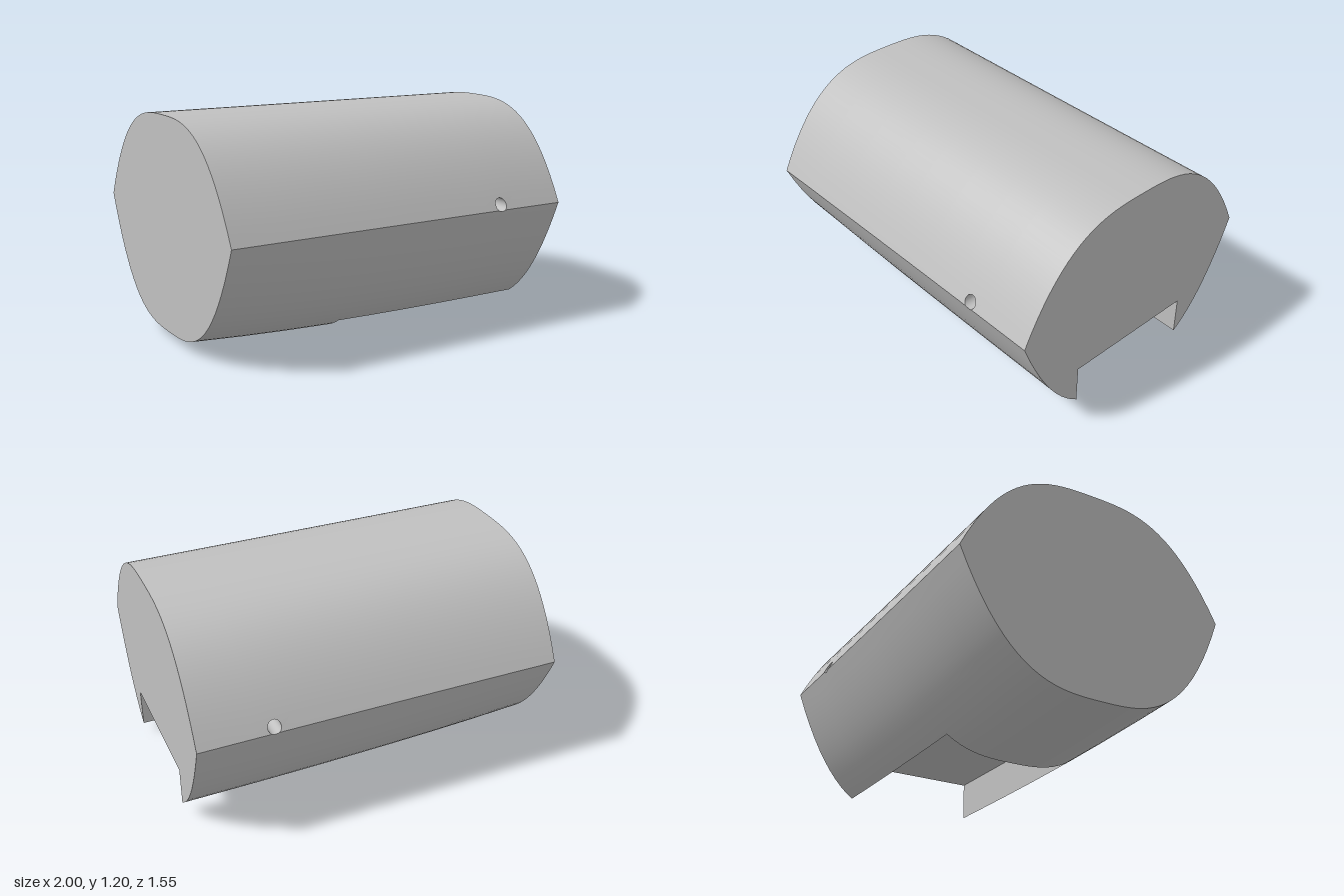
import * as THREE from 'three';
import { mergeVertices } from 'three/addons/utils/BufferGeometryUtils.js';

const TOP = 1.2, SEAM = 0.667;                       // crown and side ridge heights
const NOTCH = { x: -0.19, z: 0.385, y: 0.29 };       // open channel under the body
const HOLE = { x: 0.6, y: 0.695, r: 0.035 };         // cross bore
const N = 20;                                        // profile steps per half
const XS = [-1, -0.73, -0.46, -0.19, 0, 0.25, 0.5, 0.7, 1];

// Gentle taper along the length
const halfWidth = x => 0.762 + 0.011 * ((1 - x) / 2) ** 2;
const bottom = x => -0.016 + 0.066 * ((1 - x) / 2) ** 2.7;

// Cubic-curve section: t runs -1..1 across the width, |t| = 0.5 is the channel edge
function zAt(x, t) {
  const a = Math.abs(t);
  const z = a <= 0.5 ? a * 2 * NOTCH.z : NOTCH.z + (a - 0.5) * 2 * (halfWidth(x) - NOTCH.z);
  return Math.sign(t) * z;
}
function point(x, t, upper) {
  const z = zAt(x, t), end = upper ? TOP : bottom(x);
  return [x, end + (SEAM - end) * Math.abs(z / halfWidth(x)) ** 3, z];
}
function tAt(x, y, upper) {
  const end = upper ? TOP : bottom(x);
  const z = halfWidth(x) * Math.cbrt((y - end) / (SEAM - end));
  return 0.5 + 0.5 * (z - NOTCH.z) / (halfWidth(x) - NOTCH.z);
}

// Points of the bore rim above or below the ridge, as [x, t]
function rimArc(upper) {
  const a0 = Math.asin((SEAM - HOLE.y) / HOLE.r);
  const from = upper ? a0 : Math.PI - a0, to = upper ? Math.PI - a0 : 2 * Math.PI + a0;
  const n = upper ? 24 : 8, pts = [];
  for (let i = 0; i <= n; i++) {
    const a = from + (to - from) * i / n;
    const x = HOLE.x + HOLE.r * Math.cos(a);
    pts.push([x, i === 0 || i === n ? 1 : tAt(x, HOLE.y + HOLE.r * Math.sin(a), upper)]);
  }
  return pts;
}

const quad = (out, a, b, c, d) => out.push(...a, ...b, ...c, ...a, ...c, ...d);

function toGeometry(out) {
  const g = new THREE.BufferGeometry();
  g.setAttribute('position', new THREE.Float32BufferAttribute(out, 3));
  const merged = mergeVertices(g, 1e-5);
  merged.computeVertexNormals();
  return merged;
}

// Curved skin, upper or lower half, with the bore openings cut near the ridge
function skin(upper) {
  const out = [];
  for (let i = 0; i < XS.length - 1; i++) {
    for (let j = -N; j < N; j++) {
      const overChannel = !upper && XS[i] >= NOTCH.x && j >= -N / 2 && j < N / 2;
      const overBore = XS[i] === 0.5 && (j === -N || j === N - 1);
      if (overChannel || overBore) continue;
      const q = [[i, j], [i, j + 1], [i + 1, j + 1], [i + 1, j]].map(([k, l]) => point(XS[k], l / N, upper));
      if (!upper) q.reverse();
      quad(out, ...q);
    }
  }
  // Patches around the bore
  const t1 = (N - 1) / N;
  const arc = rimArc(upper);
  if (!upper) arc.reverse();
  const outline = [[0.5, t1], [0.7, t1], [0.7, 1], ...arc, [0.5, 1]];
  for (const s of [1, -1]) {
    const shape = new THREE.Shape(outline.map(([x, t]) => new THREE.Vector2(x, s * t)));
    const g = new THREE.ShapeGeometry(shape), p = g.attributes.position, idx = g.index.array;
    for (let k = 0; k < idx.length; k += 3) {
      const tri = [idx[k], idx[k + 1], idx[k + 2]].map(v => point(p.getX(v), p.getY(v), upper));
      if (upper) tri.reverse();
      out.push(...tri.flat());
    }
  }
  return toGeometry(out);
}

// Inner wall of the cross bore
function bore() {
  const rim = [true, false].flatMap(up => rimArc(up).map(([x, t]) => point(x, t, up)));
  const out = [], back = ([x, y, z]) => [x, y, -z];
  for (let i = 0; i < rim.length - 1; i++) {
    const a = rim[i], b = rim[i + 1];
    if (Math.hypot(a[0] - b[0], a[1] - b[1]) < 1e-6) continue;
    quad(out, a, b, back(b), back(a));
  }
  return toGeometry(out);
}

// Side wall of the channel, facing the middle
function channelWall(s) {
  const out = [], xs = XS.filter(x => x >= NOTCH.x);
  for (let i = 0; i < xs.length - 1; i++) {
    const a = point(xs[i], s * 0.5, false), b = point(xs[i + 1], s * 0.5, false);
    const q = [a, b, [b[0], NOTCH.y, b[2]], [a[0], NOTCH.y, a[2]]];
    if (s > 0) q.reverse();
    quad(out, ...q);
  }
  return toGeometry(out);
}

// Flat face across the body at x, facing dir (+1 or -1)
function crossFace(pts, x, dir) {
  const g = new THREE.ShapeGeometry(new THREE.Shape(pts.map(p => new THREE.Vector2(p[2], p[1]))));
  return g.rotateY(dir * Math.PI / 2).translate(x, 0, 0);
}
function profile(x, from, to, upper) {
  const pts = [], step = Math.sign(to - from);
  for (let j = from; j !== to + step; j += step) pts.push(point(x, j / N, upper));
  return pts;
}

export function createModel() {
  const group = new THREE.Group();
  group.name = 'notchedBody';
  const grey = new THREE.MeshStandardMaterial({ color: 0xc0c0c0 });
  grey.name = 'light grey';
  const add = (name, geometry) => {
    const mesh = new THREE.Mesh(geometry, grey);
    mesh.name = name;
    group.add(mesh);
  };
  const h = N / 2;
  const channelTop = [[0, NOTCH.y, NOTCH.z], [0, NOTCH.y, -NOTCH.z]];

  add('upperSkin', skin(true));
  add('lowerSkin', skin(false));
  add('crossBore', bore());

  // End faces
  add('solidEnd', crossFace([...profile(-1, -N, N, true), ...profile(-1, N - 1, 1 - N, false)], -1, -1));
  add('notchedEnd', crossFace([...profile(1, -N, N, true), ...profile(1, N - 1, h, false),
    ...channelTop, ...profile(1, -h, 1 - N, false)], 1, 1));

  // Channel
  add('channelStep', crossFace([...profile(NOTCH.x, -h, h, false), ...channelTop], NOTCH.x, 1));
  add('channelCeiling', new THREE.PlaneGeometry(1 - NOTCH.x, 2 * NOTCH.z)
    .rotateX(Math.PI / 2).translate((1 + NOTCH.x) / 2, NOTCH.y, 0));
  add('leftChannelWall', channelWall(1));
  add('rightChannelWall', channelWall(-1));
  return group;
}
